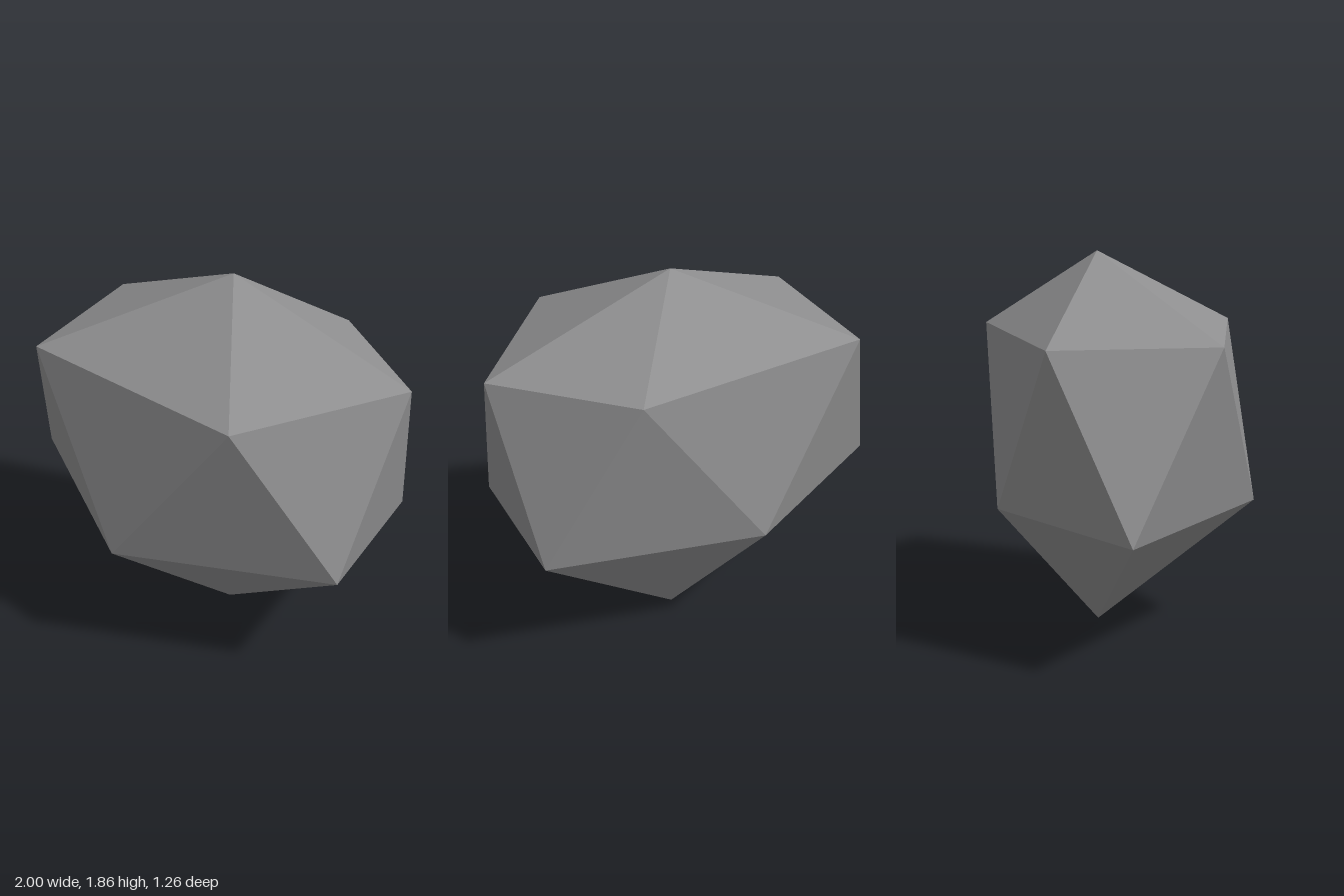
import * as THREE from 'three';

export function createModel() {
  const group = new THREE.Group();
  group.name = 'rock';
  const stone = new THREE.MeshStandardMaterial({ color: 0x8f8f90, flatShading: true });
  stone.name = 'stone grey';

  // Uneven twenty-sided stone: two staggered rings of five between two tips
  const ring = (y, xz) => xz.map(([x, z]) => [x, y, z]);
  const tip = [0.09, 1.86, -0.11];
  const base = [0.09, 0, -0.11];
  const upper = ring(1.48, [[1, -0.11], [0.46, 0.63], [-0.73, 0.34], [-0.73, -0.45], [0.46, -0.63]]);
  const lower = ring(0.65, [[0.88, 0.34], [-0.16, 0.63], [-1, -0.11], [-0.16, -0.63], [0.88, -0.45]]);

  const corners = [];
  for (let i = 0; i < 5; i++) {
    const n = (i + 1) % 5;
    corners.push(tip, upper[n], upper[i]); // cap
    corners.push(upper[i], upper[n], lower[i]); // band, pointing down
    corners.push(lower[n], lower[i], upper[n]); // band, pointing up
    corners.push(lower[i], lower[n], base); // underside
  }

  const geometry = new THREE.BufferGeometry();
  geometry.setAttribute('position', new THREE.Float32BufferAttribute(corners.flat(), 3));
  geometry.computeVertexNormals();

  const body = new THREE.Mesh(geometry, stone);
  body.name = 'stoneBody';
  group.add(body);
  return group;
}
